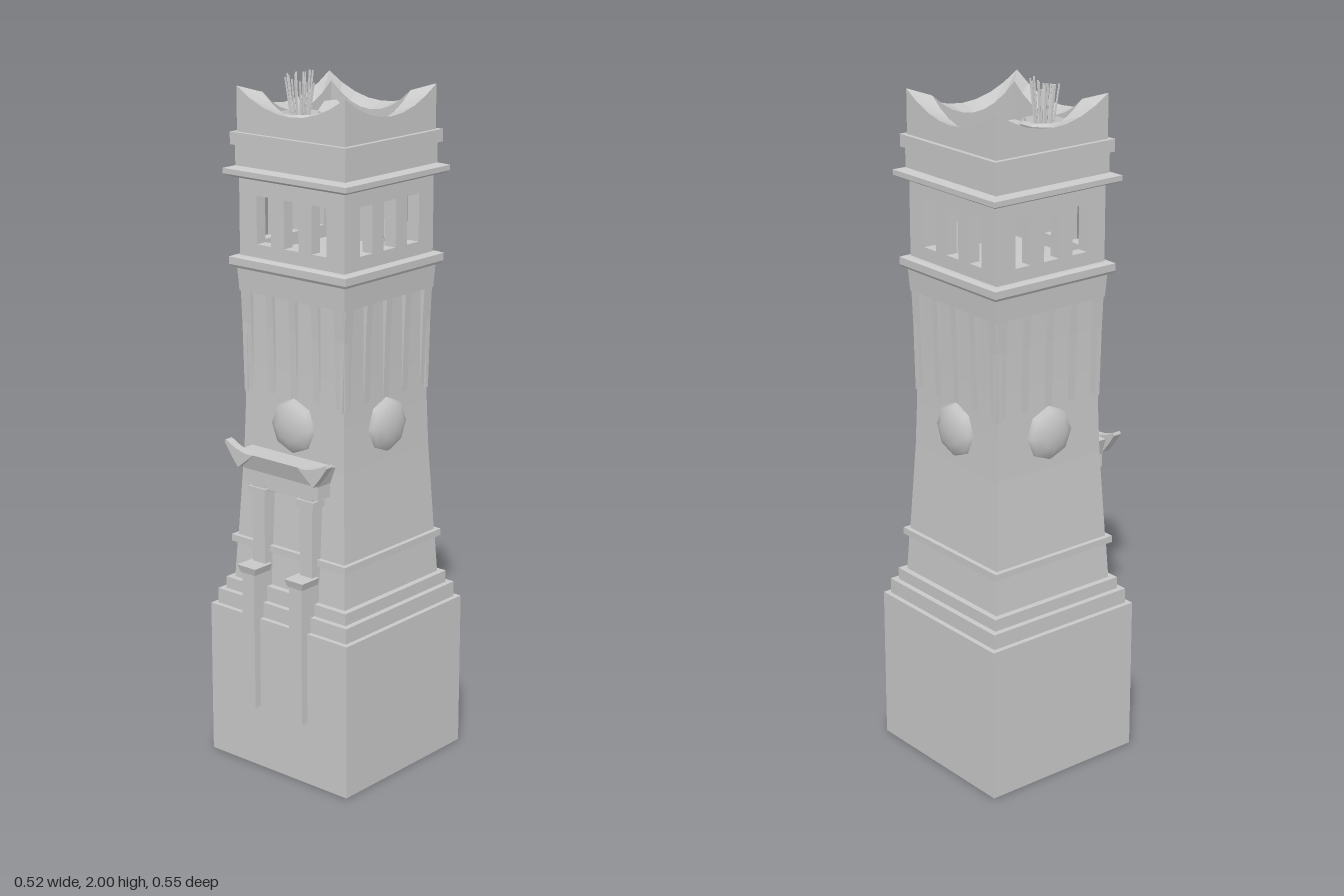
import * as THREE from 'three';

const stone = new THREE.MeshStandardMaterial({ color: 0xc8c8c8 });
stone.name = 'pale stone';

function part(parent, name, geometry, x = 0, y = 0, z = 0) {
  const mesh = new THREE.Mesh(geometry, stone);
  mesh.name = name;
  mesh.position.set(x, y, z);
  parent.add(mesh);
  return mesh;
}

function flat(geometry) {
  const g = geometry.index ? geometry.toNonIndexed() : geometry;
  g.computeVertexNormals();
  return g;
}

// Square-plan solid from a profile of [half width, height], bottom to top
function squareLathe(profile) {
  const pts = profile.map(([h, y]) => new THREE.Vector2(h * Math.SQRT2, y));
  return flat(new THREE.LatheGeometry(pts, 4, Math.PI / 4));
}

// Box between corners, whose top is widened by dx and brought forward by dz
function block(parent, name, x0, x1, y0, y1, z0, z1, dx = 0, dz = 0) {
  const g = new THREE.BoxGeometry(x1 - x0, y1 - y0, z1 - z0);
  const p = g.attributes.position;
  for (let i = 0; i < p.count; i++) {
    if (p.getY(i) < 0) continue;
    p.setX(i, p.getX(i) + Math.sign(p.getX(i)) * dx);
    if (p.getZ(i) > 0) p.setZ(i, p.getZ(i) + dz);
  }
  return part(parent, name, flat(g), (x0 + x1) / 2, (y0 + y1) / 2, (z0 + z1) / 2);
}

function shapeOf(points) {
  return new THREE.Shape(points.map(([x, y]) => new THREE.Vector2(x, y)));
}

function extrude(points, depth, holes = []) {
  const s = shapeOf(points);
  s.holes = holes.map(shapeOf);
  return new THREE.ExtrudeGeometry(s, { depth, bevelEnabled: false });
}

const rect = (x0, x1, y0, y1) => [[x0, y0], [x1, y0], [x1, y1], [x0, y1]];

// One side of the dipped parapet: outer wall, sloping rim and inner wall
function parapetSide() {
  const pos = [], n = 8, out = 0.193, inn = 0.143;
  const rows = (t) => {
    const h = 1.893 + 0.067 * t * t;
    return [[t * out, 1.83, out], [t * out, h, out], [t * inn, h - 0.018, inn], [t * inn, 1.83, inn]];
  };
  for (let i = 0; i < n; i++) {
    const a = rows(-1 + 2 * i / n), b = rows(-1 + 2 * (i + 1) / n);
    for (let k = 0; k < 3; k++)
      pos.push(...a[k], ...b[k], ...b[k + 1], ...a[k], ...b[k + 1], ...a[k + 1]);
  }
  const g = new THREE.BufferGeometry();
  g.setAttribute('position', new THREE.Float32BufferAttribute(pos, 3));
  g.computeVertexNormals();
  return g;
}

// Thin stick between two points
function stick(parent, from, to, r) {
  const a = new THREE.Vector3(...from), b = new THREE.Vector3(...to);
  const dir = b.clone().sub(a);
  const mid = a.add(b).multiplyScalar(0.5);
  const m = part(parent, 'stick', flat(new THREE.CylinderGeometry(r, r, dir.length(), 4)), mid.x, mid.y, mid.z);
  m.quaternion.setFromUnitVectors(new THREE.Vector3(0, 1, 0), dir.normalize());
}

export function createModel() {
  const model = new THREE.Group();
  model.name = 'tower';
  const tower = new THREE.Group();
  tower.name = 'towerBody';
  tower.position.z = -0.017;
  model.add(tower);

  // Base, steps, curved shaft and belfry ledge
  part(tower, 'baseAndShaft', squareLathe([
    [0, 0], [0.258, 0], [0.258, 0.46], [0.243, 0.46], [0.243, 0.505], [0.226, 0.505], [0.226, 0.54],
    [0.208, 0.54], [0.202, 0.65], [0.214, 0.65], [0.214, 0.67], [0.2, 0.67], [0.193, 0.8], [0.186, 0.93],
    [0.182, 1.06], [0.179, 1.18], [0.178, 1.3], [0.178, 1.39], [0.192, 1.39], [0.196, 1.455],
    [0.207, 1.458], [0.212, 1.466], [0.212, 1.487], [0.2, 1.492], [0, 1.5]]));

  // Cornice and upper bands
  part(tower, 'cornice', squareLathe([
    [0, 1.71], [0.2, 1.71], [0.214, 1.715], [0.222, 1.72], [0.222, 1.735], [0.197, 1.742], [0.197, 1.8],
    [0.207, 1.8], [0.207, 1.835], [0, 1.835]]));

  const parapet = parapetSide();
  const windows = [-0.1, 0, 0.1].map((x) => rect(x - 0.026, x + 0.026, 1.53, 1.665));
  const wall = extrude(rect(-0.19, 0.19, 1.49, 1.715), 0.035, windows);
  const ribProfile = [[0.17, 1.1], [0.1805, 1.1], [0.187, 1.3], [0.192, 1.4], [0.17, 1.4]];

  for (let side = 0; side < 4; side++) {
    const face = new THREE.Group();
    face.name = 'towerFace';
    face.rotation.y = side * Math.PI / 2;
    tower.add(face);
    part(face, 'parapet', parapet);
    part(face, 'belfryWall', wall, 0, 0, 0.155);

    // Tapering ribs between the four niches, wider at the corners
    for (const [x, w] of [[-0.17, 0.034], [-0.083, 0.024], [0, 0.024], [0.083, 0.024], [0.17, 0.034]]) {
      const rib = part(face, 'rib', extrude(ribProfile, w), x + w / 2, 0, 0);
      rib.rotation.y = -Math.PI / 2;
      rib.position.x = x + w / 2;
    }

    // Domed round boss
    const dome = part(face, 'roundBoss', new THREE.SphereGeometry(0.083, 8, 6), 0, 1.03, 0.175);
    dome.rotation.x = Math.PI / 2;
    dome.scale.y = 0.48;
  }

  // Doorway
  const portal = new THREE.Group();
  portal.name = 'doorway';
  model.add(portal);
  const opening = [[-0.066, 0.55], [0.066, 0.55], [0.066, 0.83], [0.054, 0.843], [-0.054, 0.843], [-0.066, 0.83]];
  part(portal, 'doorFrame', extrude(rect(-0.112, 0.112, 0.5, 0.87), 0.045, [opening]), 0, 0, 0.165);
  block(portal, 'lintel', -0.138, 0.138, 0.855, 0.895, 0.15, 0.222);
  block(portal, 'flaredCornice', -0.138, 0.138, 0.895, 0.945, 0.15, 0.225, 0.017, 0.017);
  for (const s of [-1, 1]) {
    const x0 = s < 0 ? -0.112 : 0.066, x1 = x0 + 0.046;
    block(portal, 'pillar', x0, x1, 0.19, 0.6, 0.205, 0.264);
    block(portal, 'pillarCap', x0 - 0.004, x1 + 0.004, 0.598, 0.62, 0.2, 0.266, 0.007, 0.006);
    block(portal, 'pilaster', x0, x1, 0.62, 0.86, 0.17, 0.218);
    block(portal, 'pilasterCap', x0 - 0.008, x1 + 0.008, 0.825, 0.845, 0.17, 0.224);
    const horn = [[0.14, 0.9], [0.165, 0.93], [0.19, 0.965], [0.186, 0.973], [0.15, 0.955], [0.115, 0.946], [0.085, 0.944]];
    const points = horn.map(([x, y]) => [s * x, y]);
    part(portal, 'horn', extrude(points, 0.026), 0, 0, 0.22);
  }

  // Octagonal nest bowl with upright sticks
  const nest = new THREE.Group();
  nest.name = 'nest';
  nest.position.set(-0.072, 1.835, 0.05);
  model.add(nest);
  const bowl = [[0, 0], [0.05, 0], [0.066, 0.042], [0.056, 0.05], [0.042, 0.02], [0, 0.012]];
  part(nest, 'bowl', flat(new THREE.LatheGeometry(bowl.map(([x, y]) => new THREE.Vector2(x, y)), 8, Math.PI / 8)));
  for (let i = 0; i < 18; i++) {
    const a = i * 2.4, r = 0.009 * Math.sqrt(i + 0.5), h = 0.13 + 0.0345 * ((i * 7) % 18) / 17;
    const x = Math.cos(a) * r, z = Math.sin(a) * r;
    stick(nest, [x * 0.7, 0.012, z * 0.7], [x * 1.25, h, z * 1.25], 0.0035);
  }

  // Small bundle of sticks inside the belfry
  const bundle = new THREE.Group();
  bundle.name = 'belfrySticks';
  bundle.position.set(0.102, 1.495, -0.115);
  model.add(bundle);
  for (let i = 0; i < 9; i++) {
    const a = i * 2.4, r = 0.006 * Math.sqrt(i + 0.5);
    const x = Math.cos(a) * r, z = Math.sin(a) * r;
    stick(bundle, [x * 0.8, 0, z * 0.8], [x * 1.3, 0.07 + 0.03 * ((i * 5) % 9) / 8, z * 1.3], 0.0025);
  }

  // Slab leaning in the back corner of the roof
  const slab = part(model, 'leaningSlab', flat(new THREE.CylinderGeometry(0.04, 0.04, 0.012, 7)), -0.112, 1.858, -0.128);
  slab.quaternion.setFromUnitVectors(new THREE.Vector3(0, 1, 0), new THREE.Vector3(0.55, 0.6, 0.55).normalize());

  return model;
}
